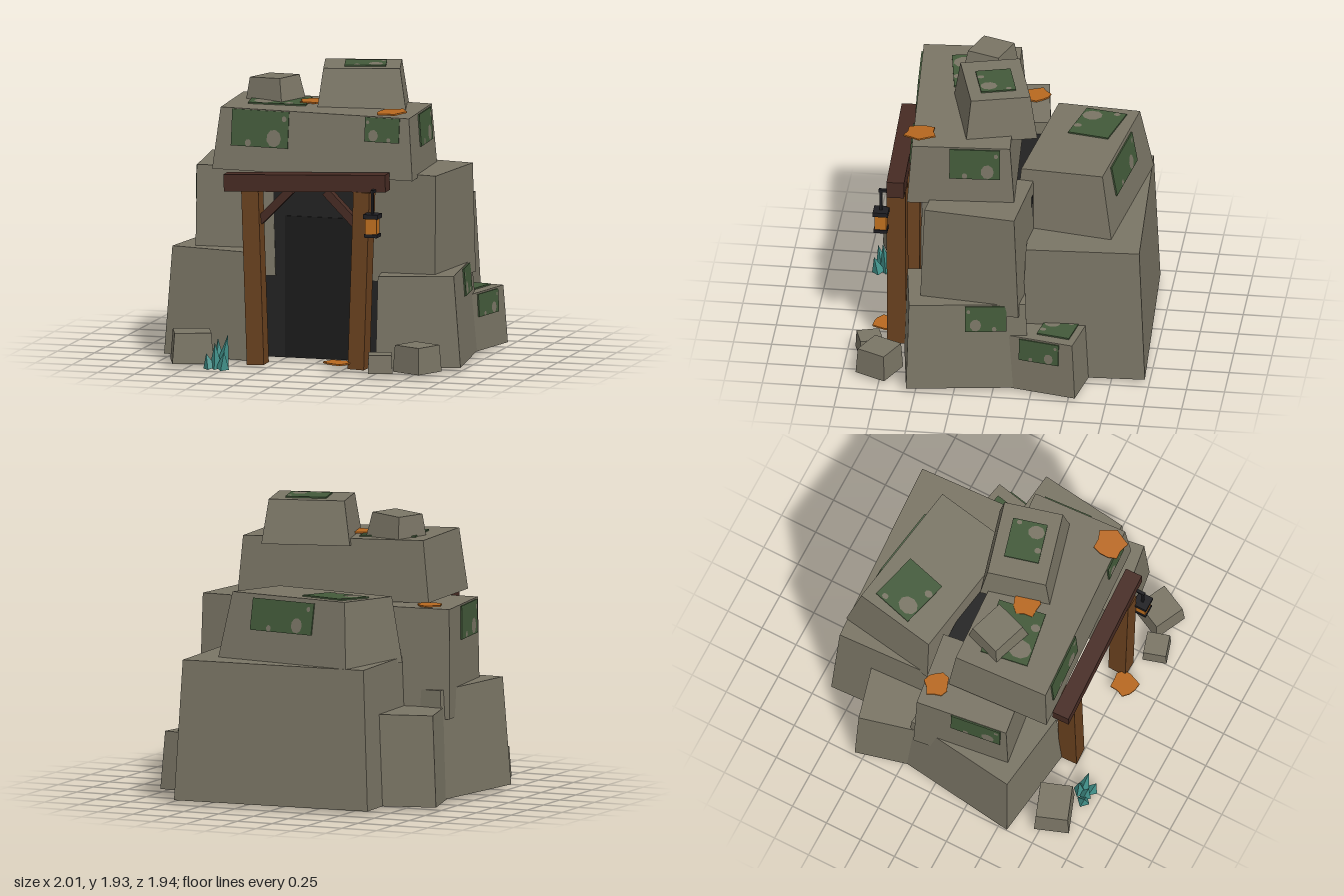
import * as THREE from 'three';

const mat = (name, color, extra = {}) => {
  const m = new THREE.MeshStandardMaterial({ color, ...extra });
  m.name = name;
  return m;
};

export function createModel() {
  const root = new THREE.Group();
  root.name = 'stoneCave';
  const stone = mat('stone', 0x7a7565);
  const moss = mat('moss', 0x435a3a);
  const wood = mat('postWood', 0x6b421f);
  const darkWood = mat('beamWood', 0x472b23);
  const dark = mat('caveDark', 0x222222);
  const darker = mat('caveDeep', 0x1b1b1b);
  const iron = mat('iron', 0x1e1e22);
  const leafMat = mat('leafOrange', 0xb8681f);
  const glass = mat('lanternGlow', 0xc0701f);
  const teal = mat('crystalTeal', 0x41918a);

  const add = (parent, name, geo, material, pos = [0, 0, 0], rot = [0, 0, 0]) => {
    const m = new THREE.Mesh(geo, material);
    m.name = name;
    m.position.set(...pos);
    m.rotation.set(...rot);
    parent.add(m);
    return m;
  };
  const box = (parent, name, size, material, pos, rot) =>
    add(parent, name, new THREE.BoxGeometry(...size), material, pos, rot);

  // Tapered boulder standing on its own base; rot = [yaw, roll, pitch]
  const rock = (name, pos, [w, h, d], [tw, td], [ry, rz = 0, rx = 0]) => {
    const geo = new THREE.BoxGeometry(w, h, d).translate(0, h / 2, 0);
    const p = geo.attributes.position;
    for (let i = 0; i < p.count; i++) {
      if (p.getY(i) > h / 2) p.setXYZ(i, p.getX(i) * tw / w, h, p.getZ(i) * td / d);
    }
    geo.computeVertexNormals();
    const g = new THREE.Group();
    g.name = name;
    g.position.set(...pos);
    g.rotation.set(rx, ry, rz, 'YXZ');
    g.userData = { w, h, d, tw, td };
    add(g, name + 'Stone', geo, stone);
    root.add(g);
    return g;
  };

  // Moss plate lying on one face of a boulder, with bare stone spots
  const yaw = { front: 0, right: Math.PI / 2, back: Math.PI, left: -Math.PI / 2 };
  let count = 0;
  const patch = (g, face, u, v, w, h, spin = 0) => {
    const s = g.userData, holder = new THREE.Group(), plate = new THREE.Group();
    holder.name = face + 'Moss';
    if (face === 'top') {
      holder.rotation.x = -Math.PI / 2;
      plate.position.set(u, v, s.h + 0.005);
      plate.rotation.z = spin;
    } else {
      const onZ = face === 'front' || face === 'back';
      const b = (onZ ? s.d : s.w) / 2, t = (onZ ? s.td : s.tw) / 2;
      holder.rotation.y = yaw[face];
      plate.position.set(u, v, b + (t - b) * v / s.h + 0.005);
      plate.rotation.x = -Math.atan2(b - t, s.h);
    }
    box(plate, 'mossPlate', [w, h, 0.0095], moss);
    const side = count++ % 2 ? -1 : 1;
    [[0.25, -0.24, 0.24], [-0.2, -0.4, 0.1], [0.42, 0.3, 0.08]].forEach(([x, y, r]) =>
      add(plate, 'bareSpot', new THREE.CircleGeometry(r * h, 9).scale(0.85, 1, 1), stone,
        [side * x * w, y * h, 0.006]));
    holder.add(plate);
    g.add(holder);
  };

  // Lower boulders
  rock('leftBase', [-0.64, 0.025, 0.2], [0.63, 0.71, 0.82], [0.56, 0.76], [-0.13, -0.015]);
  const rightBase = rock('rightBase', [0.675, 0.02, 0.2], [0.56, 0.6, 0.8], [0.5, 0.76], [0.14, 0.03]);
  const backBase = rock('backBase', [0.04, 0.025, -0.53], [1.36, 0.92, 0.82], [1.27, 0.74], [0.047]);
  const rightSmall = rock('rightSmallBoulder', [0.71, 0.025, -0.35], [0.48, 0.38, 0.5], [0.44, 0.45], [-0.2]);
  rock('leftSmallBoulder', [-0.69, 0.025, -0.4], [0.5, 0.6, 0.46], [0.45, 0.42], [0.25]);

  // Upper boulders
  const leftUpper = rock('leftUpper', [-0.6, 0.55, 0.12], [0.53, 0.72, 0.66], [0.5, 0.62], [0.13, 0.01]);
  rock('rightUpper', [0.58, 0.55, 0.13], [0.55, 0.72, 0.66], [0.52, 0.6], [-0.12, -0.01]);
  const backUpper = rock('backUpper', [-0.05, 0.93, -0.48], [1.0, 0.43, 0.66], [0.88, 0.55], [-0.16, 0, 0.05]);
  const slab = rock('roofSlab', [0, 1.265, 0.28], [1.34, 0.405, 0.7], [1.26, 0.64], [0.06, -0.025]);
  const crown = rock('crownBoulder', [0.195, 1.63, 0.07], [0.585, 0.29, 0.47], [0.5, 0.39], [0.26]);
  rock('crownSmallBoulder', [-0.365, 1.63, 0.17], [0.3, 0.2, 0.28], [0.24, 0.22], [-0.33, 0.05]);

  // Loose stones by the entrance
  rock('looseStoneLeft', [-0.75, 0.025, 0.78], [0.27, 0.2, 0.23], [0.24, 0.21], [0.35]);
  rock('looseStoneRight', [0.775, 0.025, 0.76], [0.23, 0.175, 0.22], [0.21, 0.2], [-0.45]);
  rock('looseStoneSmall', [0.55, 0.025, 0.85], [0.16, 0.12, 0.16], [0.15, 0.15], [0.3]);

  // Moss
  patch(slab, 'front', -0.36, 0.28, 0.38, 0.24);
  patch(slab, 'front', 0.455, 0.32, 0.23, 0.16);
  patch(slab, 'right', 0.09, 0.29, 0.33, 0.21);
  patch(slab, 'top', -0.32, 0.05, 0.38, 0.32, 0.1);
  patch(leftUpper, 'left', 0.1, 0.6, 0.34, 0.22);
  patch(rightBase, 'right', 0.12, 0.5, 0.27, 0.18);
  patch(rightSmall, 'right', 0, 0.295, 0.27, 0.15);
  patch(rightSmall, 'top', 0.05, 0.07, 0.2, 0.22);
  patch(backUpper, 'back', -0.03, 0.3, 0.48, 0.21);
  patch(backUpper, 'top', -0.22, 0.05, 0.33, 0.28, -0.1);
  patch(crown, 'top', 0.02, 0, 0.27, 0.23);

  // Dark cave mouth
  box(root, 'caveInterior', [0.86, 1.17, 0.6], dark, [0, 0.6, 0.1]);
  box(root, 'caveDepth', [0.49, 0.93, 0.008], darker, [0.015, 0.485, 0.404]);

  // Timber doorway
  box(root, 'leftPost', [0.115, 1.17, 0.125], wood, [-0.35, 0.6, 0.69], [0, 0.03, 0.033]);
  box(root, 'rightPost', [0.11, 1.17, 0.125], wood, [0.375, 0.6, 0.69], [0, -0.03, -0.033]);
  box(root, 'lintel', [1.09, 0.112, 0.115], darkWood, [0.005, 1.228, 0.7], [0, 0.03, 0.037]);
  for (const s of [-1, 1])
    box(root, 'brace', [0.055, 0.3, 0.06], darkWood, [s * 0.225 + 0.015, 1.065, 0.68], [0, 0, s * 0.78]);

  // Lantern hanging off the right post
  const lantern = new THREE.Group();
  lantern.name = 'lantern';
  lantern.position.set(0.478, 0, 0.785);
  root.add(lantern);
  box(lantern, 'arm', [0.02, 0.02, 0.16], iron, [0, 1.2, -0.065]);
  box(lantern, 'hanger', [0.016, 0.17, 0.016], iron, [0, 1.125, 0]);
  box(lantern, 'lanternCap', [0.1, 0.03, 0.1], iron, [0, 1.04, 0]);
  box(lantern, 'lanternGlass', [0.075, 0.11, 0.075], glass, [0, 0.975, 0]);
  box(lantern, 'lanternBase', [0.09, 0.022, 0.09], iron, [0, 0.913, 0]);

  // Fallen leaves: ragged flat discs
  const leaf = (x, y, z, r, rx, rz, seed) => {
    const pts = [];
    for (let i = 0; i < 11; i++) {
      const a = i / 11 * Math.PI * 2, k = r * (1 + 0.16 * Math.sin(i * 2.6 + seed));
      pts.push(new THREE.Vector2(Math.cos(a) * k, Math.sin(a) * k));
    }
    const geo = new THREE.ExtrudeGeometry(new THREE.Shape(pts), { depth: 0.01, bevelEnabled: false });
    add(root, 'leaf', geo.rotateX(-Math.PI / 2), leafMat, [x, y, z], [rx, 0, rz]);
  };
  leaf(-0.73, 1.275, -0.095, 0.08, 0, 0, 1);
  leaf(-0.09, 1.68, 0.23, 0.09, 0, 0, 2);
  leaf(0.53, 1.68, 0.52, 0.1, 0.03, 0.05, 3);
  leaf(0.24, 0.055, 0.78, 0.085, 0, -0.05, 4);

  // Crystal cluster
  const up = new THREE.Vector3(0, 1, 0);
  [[-0.52, 0.87, 0.05, 0.23, 0.02], [-0.55, 0.9, 0, 0.17, 0.03], [-0.59, 0.91, -0.02, 0.1, 0.02],
    [-0.5, 0.92, 0.02, 0.12, 0.03], [-0.54, 0.86, -0.01, 0.19, 0.0]].forEach(([x, z, dx, h, dz]) => {
    const c = add(root, 'crystal', new THREE.ConeGeometry(0.045, h, 4).toNonIndexed().translate(0, h / 2, 0),
      teal, [x, 0.01, z]);
    c.geometry.computeVertexNormals();
    c.quaternion.setFromUnitVectors(up, new THREE.Vector3(dx, h, dz).normalize());
  });

  return root;
}
